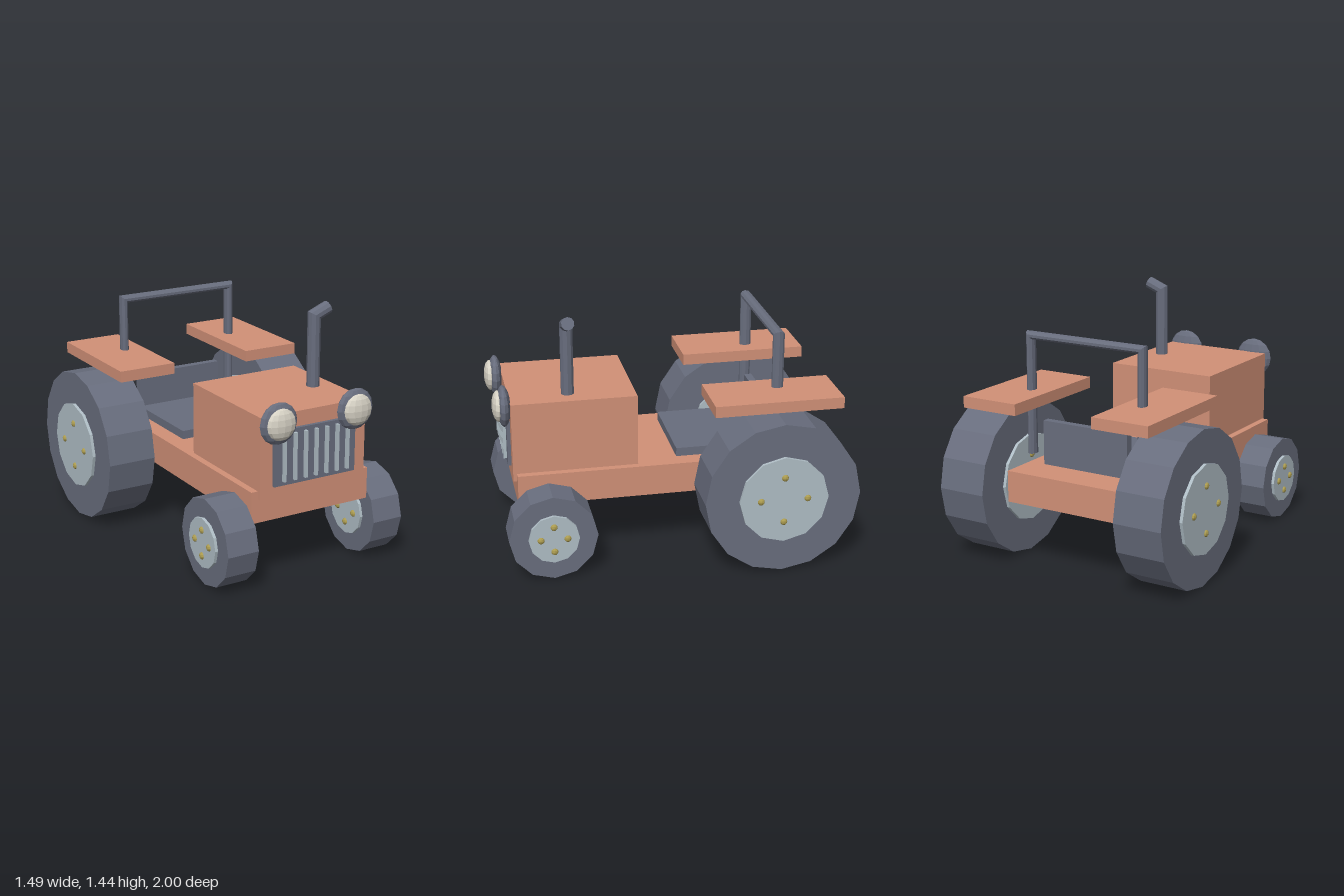
import * as THREE from 'three';

const paint = (name, color) => {
  const m = new THREE.MeshStandardMaterial({ color });
  m.name = name;
  m.flatShading = true;
  return m;
};

export function createModel() {
  const tractor = new THREE.Group();
  tractor.name = 'tractor';
  const body = paint('terracotta body', 0xd19077);
  const dark = paint('slate rubber', 0x686d7d);
  const pale = paint('pale metal', 0xafbdc5);
  const glass = paint('cream glass', 0xd8d3c6);
  const brass = paint('brass', 0xac9c50);

  function add(name, geometry, material, parent = tractor) {
    const mesh = new THREE.Mesh(geometry, material);
    mesh.name = name;
    parent.add(mesh);
    return mesh;
  }

  // Box given by its limits on each axis
  function box(name, material, [x0, x1], [y0, y1], [z0, z1]) {
    const mesh = add(name, new THREE.BoxGeometry(x1 - x0, y1 - y0, z1 - z0), material);
    mesh.position.set((x0 + x1) / 2, (y0 + y1) / 2, (z0 + z1) / 2);
    return mesh;
  }

  // Squashed ball
  function ball(name, material, size, at, parent, across = 12, down = 8) {
    const mesh = add(name, new THREE.SphereGeometry(1, across, down), material, parent);
    mesh.scale.set(...size);
    mesh.position.set(...at);
  }

  // Pipe with mitred corners along a path in a plane of constant z
  function pipe(name, path, z, rIn, rZ, sides = 10) {
    const pts = path.map(p => new THREE.Vector2(...p));
    const rings = pts.map((p, i) => {
      const a = pts[Math.max(i - 1, 0)], b = pts[Math.min(i + 1, pts.length - 1)];
      const into = (i ? p.clone().sub(a) : b.clone().sub(p)).normalize();
      const out = (i < pts.length - 1 ? b.clone().sub(p) : p.clone().sub(a)).normalize();
      const t = into.clone().add(out).normalize();
      const r = rIn / t.dot(into);
      return Array.from({ length: sides }, (_, k) => {
        const s = (k / sides) * Math.PI * 2, c = Math.cos(s) * r;
        return [p.x - t.y * c, p.y + t.x * c, z + Math.sin(s) * rZ];
      });
    });
    const v = [];
    const last = rings.length - 1;
    for (let k = 0; k < sides; k++) {
      const n = (k + 1) % sides;
      for (let i = 0; i < last; i++) {
        const [a, b, c, d] = [rings[i][k], rings[i][n], rings[i + 1][n], rings[i + 1][k]];
        v.push(...a, ...c, ...b, ...a, ...d, ...c);
      }
      v.push(pts[0].x, pts[0].y, z, ...rings[0][k], ...rings[0][n]);
      v.push(pts[last].x, pts[last].y, z, ...rings[last][n], ...rings[last][k]);
    }
    const g = new THREE.BufferGeometry();
    g.setAttribute('position', new THREE.Float32BufferAttribute(v, 3));
    g.computeVertexNormals();
    const m = add(name, g, dark);
    m.material.side = THREE.DoubleSide;
  }

  // Wheel: tyre, hub disc showing on both faces, four bolts on each face
  function wheel(name, at, radius, width, sides, hubRadius, hubWidth, boltRing) {
    const group = new THREE.Group();
    group.name = name;
    group.position.set(...at);
    add('tyre', new THREE.CylinderGeometry(radius, radius, width, sides).rotateZ(Math.PI / 2), dark, group);
    add('hub', new THREE.CylinderGeometry(hubRadius, hubRadius, hubWidth, 12).rotateZ(Math.PI / 2), pale, group);
    for (const face of [-1, 1]) {
      for (let i = 0; i < 4; i++) {
        const a = (i * Math.PI) / 2;
        ball('bolt', brass, [0.014, 0.02, 0.02],
          [face * hubWidth / 2, Math.cos(a) * boltRing, Math.sin(a) * boltRing], group, 8, 6);
      }
    }
    tractor.add(group);
  }

  // Body
  box('chassis', body, [-0.375, 0.375], [0.375, 0.555], [-0.83, 0.885]);
  box('hood', body, [-0.335, 0.335], [0.51, 0.97], [0.195, 0.905]);

  // Grille with seven bars
  box('grille', dark, [-0.258, 0.258], [0.575, 0.885], [0.89, 0.925]);
  for (let i = -3; i <= 3; i++) {
    const x = i * 0.067;
    box('grilleBar', pale, [x - 0.008, x + 0.008], [0.6, 0.865], [0.92, 0.944]);
  }

  // Seat
  box('seat', dark, [-0.275, 0.275], [0.55, 0.605], [-0.61, -0.038]);
  box('seatBack', dark, [-0.275, 0.275], [0.555, 0.81], [-0.62, -0.575]);

  // Mirrored parts
  for (const s of [-1, 1]) {
    const side = s > 0 ? 'left' : 'right';
    box(side + 'Fender', body, s > 0 ? [0.245, 0.593] : [-0.593, -0.245], [0.91, 0.975], [-0.925, -0.19]);
    ball(side + 'HeadlightHousing', dark, [0.116, 0.116, 0.04], [s * 0.243, 0.933, 0.936]);
    ball(side + 'HeadlightLens', glass, [0.088, 0.088, 0.036], [s * 0.243, 0.935, 0.965]);
    wheel(side + 'RearWheel', [s * 0.57, 0.445, -0.556], 0.445, 0.29, 16, 0.255, 0.326, 0.134);
    wheel(side + 'FrontWheel', [s * 0.469, 0.25, 0.714], 0.25, 0.188, 12, 0.143, 0.222, 0.075);
  }

  // Roll bar and exhaust
  pipe('rollBar', [[-0.363, 0.605], [-0.363, 1.285], [0.363, 1.285], [0.363, 0.605]], -0.6, 0.024, 0.034);
  pipe('exhaust', [[0.215, 0.95], [0.215, 1.373], [0.306, 1.41]], 0.573, 0.037, 0.037);

  return tractor;
}
